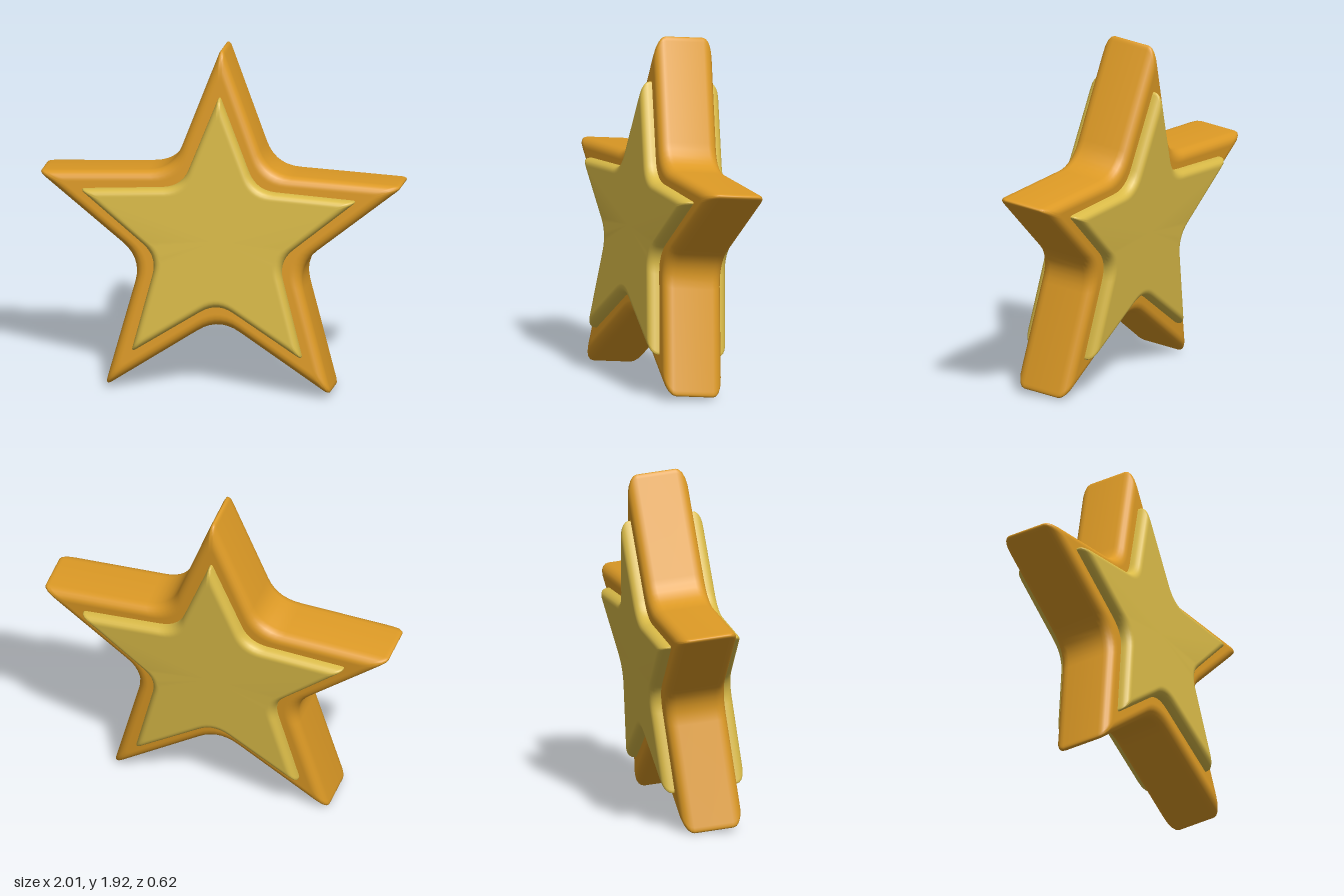
import * as THREE from 'three';
import { toCreasedNormals } from 'three/addons/utils/BufferGeometryUtils.js';

// Five-pointed outline with softened tips and valleys, counter-clockwise
function starRing(tipR, valleyR, tipCut, valleyCut, steps = 7) {
  const corners = [];
  for (let i = 0; i < 10; i++) {
    const a = Math.PI / 2 + (i * Math.PI) / 5;
    const r = i % 2 ? valleyR : tipR;
    corners.push(new THREE.Vector2(Math.cos(a) * r, Math.sin(a) * r));
  }
  const points = [];
  corners.forEach((c, i) => {
    const cut = i % 2 ? valleyCut : tipCut;
    const toward = (n) => n.clone().sub(c).setLength(cut).add(c);
    const curve = new THREE.QuadraticBezierCurve(
      toward(corners[(i + 9) % 10]), c, toward(corners[(i + 1) % 10]));
    points.push(...curve.getPoints(steps));
  });
  return points;
}

// Thick star with rounded rims: outlines stacked from back to front
function starGeometry({ tip, valley, tipCut, valleyCut, half, inset, bevel }) {
  const rim = [[inset + 0.008, half]];
  const segs = 5;
  for (let k = 0; k <= segs; k++) {
    const t = (k / segs) * Math.PI / 2;
    rim.push([inset * (1 - Math.sin(t)), half - bevel * (1 - Math.cos(t))]);
  }
  const profile = [...rim.map(([d, z]) => [d, -z]), ...rim.slice().reverse()];

  const positions = [], index = [];
  let n = 0;
  for (const [d, z] of profile) {
    // an even inset moves sharp tips further than the open valleys
    const ring = starRing(tip - 2.7 * d, valley - 1.2 * d, tipCut, valleyCut);
    n = ring.length;
    for (const p of ring) positions.push(p.x, p.y, z);
  }
  const rows = profile.length;
  const back = rows * n, front = back + 1;
  positions.push(0, 0, -half, 0, 0, half);
  for (let j = 0; j < n; j++) {
    const k = (j + 1) % n;
    for (let i = 0; i < rows - 1; i++) {
      const a = i * n + j, b = i * n + k;
      index.push(a, b, b + n, a, b + n, a + n);
    }
    index.push(back, k, j, front, (rows - 1) * n + j, (rows - 1) * n + k);
  }
  const geometry = new THREE.BufferGeometry();
  geometry.setAttribute('position', new THREE.Float32BufferAttribute(positions, 3));
  geometry.setIndex(index);
  return toCreasedNormals(geometry, 0.75);
}

export function createModel() {
  const orange = new THREE.MeshStandardMaterial({ color: 0xdd9a25 });
  orange.name = 'orange gold';
  const yellow = new THREE.MeshStandardMaterial({ color: 0xdabb48 });
  yellow.name = 'pale gold';

  // Broad outer star
  const outerStar = new THREE.Mesh(starGeometry({
    tip: 1.075, valley: 0.455, tipCut: 0.05, valleyCut: 0.14,
    half: 0.17, inset: 0.05, bevel: 0.06,
  }), orange);
  outerStar.name = 'outerStar';

  // Smaller, thicker star standing proud of both faces
  const innerStar = new THREE.Mesh(starGeometry({
    tip: 0.812, valley: 0.352, tipCut: 0.03, valleyCut: 0.11,
    half: 0.232, inset: 0.035, bevel: 0.05,
  }), yellow);
  innerStar.name = 'innerStar';

  // Slight lean back and turn to one side
  const star = new THREE.Group();
  star.name = 'star';
  star.add(outerStar, innerStar);
  star.rotation.set(-0.1, -0.065, 0);
  star.position.y = 0.856;

  const model = new THREE.Group();
  model.name = 'starModel';
  model.add(star);
  return model;
}
